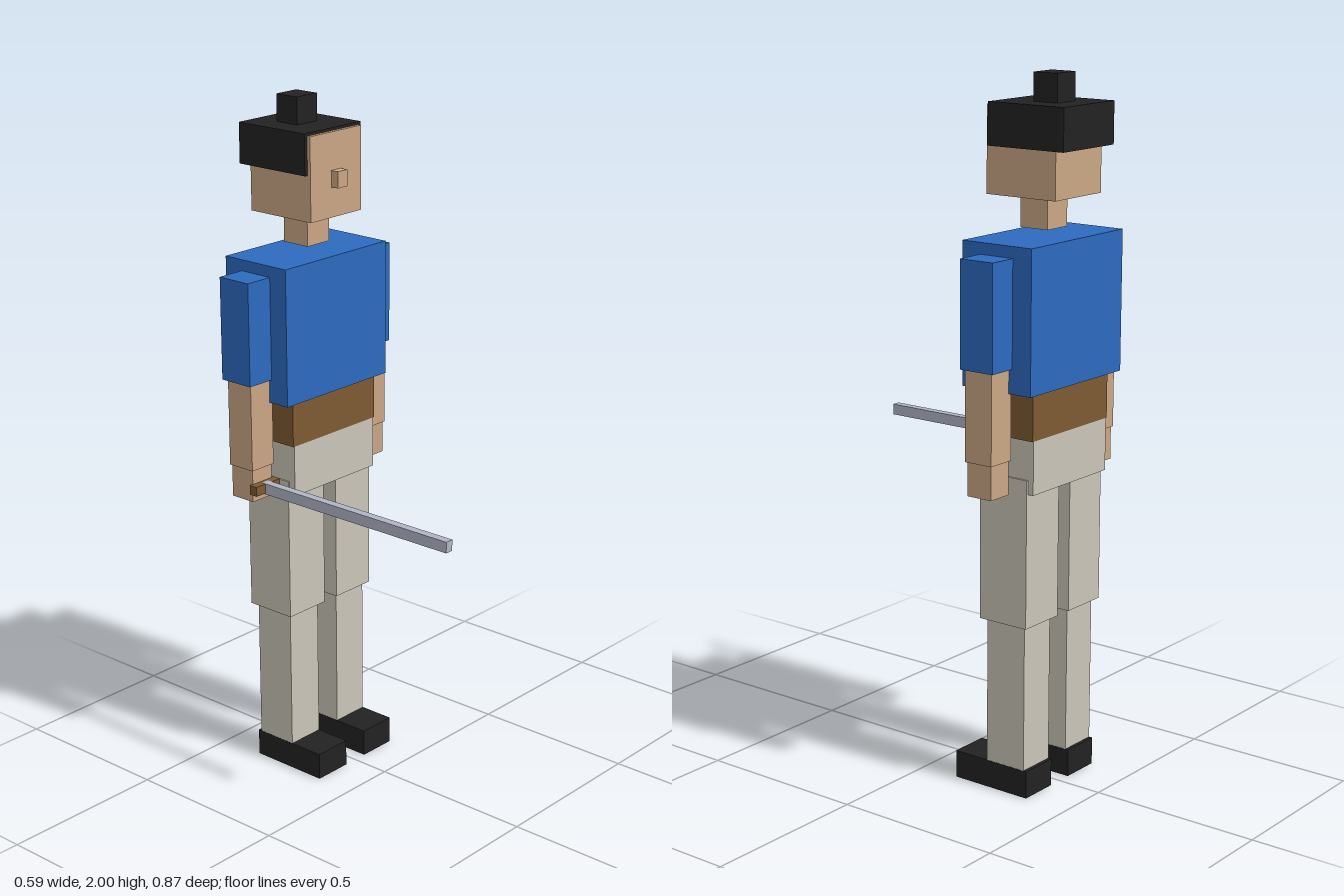
import * as THREE from 'three';

const material = (name, color) => {
  const m = new THREE.MeshStandardMaterial({ color });
  m.name = name;
  return m;
};

export function createModel() {
  const skin = material('skin', 0xcaa685);
  const black = material('black', 0x222222);
  const blue = material('blue cloth', 0x2c6abf);
  const brown = material('brown leather', 0x7f5a32);
  const beige = material('beige cloth', 0xcac5b8);
  const steel = material('steel', 0xb0b4c5);

  const model = new THREE.Group();
  model.name = 'swordsman';

  // Box given by centre x, width, and its y and z ranges
  const box = (name, mat, x, width, [y0, y1], [z0, z1], parent = model) => {
    const mesh = new THREE.Mesh(new THREE.BoxGeometry(width, y1 - y0, z1 - z0), mat);
    mesh.position.set(x, (y0 + y1) / 2, (z0 + z1) / 2);
    mesh.name = name;
    parent.add(mesh);
  };

  // Head
  box('head', skin, 0, 0.208, [1.674, 1.914], [-0.404, -0.177]);
  box('nose', skin, 0, 0.039, [1.76, 1.807], [-0.19, -0.152]);
  box('hair', black, 0, 0.229, [1.805, 1.922], [-0.436, -0.188]);
  box('topknot', black, 0, 0.081, [1.92, 2], [-0.361, -0.283]);
  box('neck', skin, 0, 0.09, [1.584, 1.664], [-0.336, -0.246]);

  // Body
  box('chest', blue, 0, 0.418, [1.166, 1.563], [-0.406, -0.177]);
  box('waist', brown, 0, 0.346, [1.035, 1.166], [-0.388, -0.191]);
  box('hips', beige, 0, 0.338, [0.885, 1.035], [-0.388, -0.191]);

  // Arms and legs, mirrored
  for (const [side, s] of [['left', 1], ['right', -1]]) {
    const arm = new THREE.Group();
    arm.name = side + 'Arm';
    box('sleeve', blue, s * 0.241, 0.108, [1.234, 1.531], [-0.345, -0.237], arm);
    box('forearm', skin, s * 0.241, 0.086, [0.98, 1.234], [-0.334, -0.246], arm);
    box('hand', skin, s * 0.241, 0.077, [0.885, 0.98], [-0.33, -0.25], arm);

    const leg = new THREE.Group();
    leg.name = side + 'Leg';
    box('thigh', beige, s * 0.1, 0.148, [0.503, 0.925], [-0.37, -0.212], leg);
    box('shin', beige, s * 0.1, 0.118, [0.08, 0.503], [-0.355, -0.227], leg);
    box('shoe', black, s * 0.1, 0.119, [0, 0.08], [-0.365, -0.117], leg);
    model.add(arm, leg);
  }

  // Sword held forward in the right hand
  const sword = new THREE.Group();
  sword.name = 'sword';
  box('guard', brown, -0.241, 0.096, [0.91, 0.938], [-0.253, -0.226], sword);
  box('blade', steel, -0.241, 0.025, [0.907, 0.939], [-0.24, 0.436], sword);
  model.add(sword);

  return model;
}
